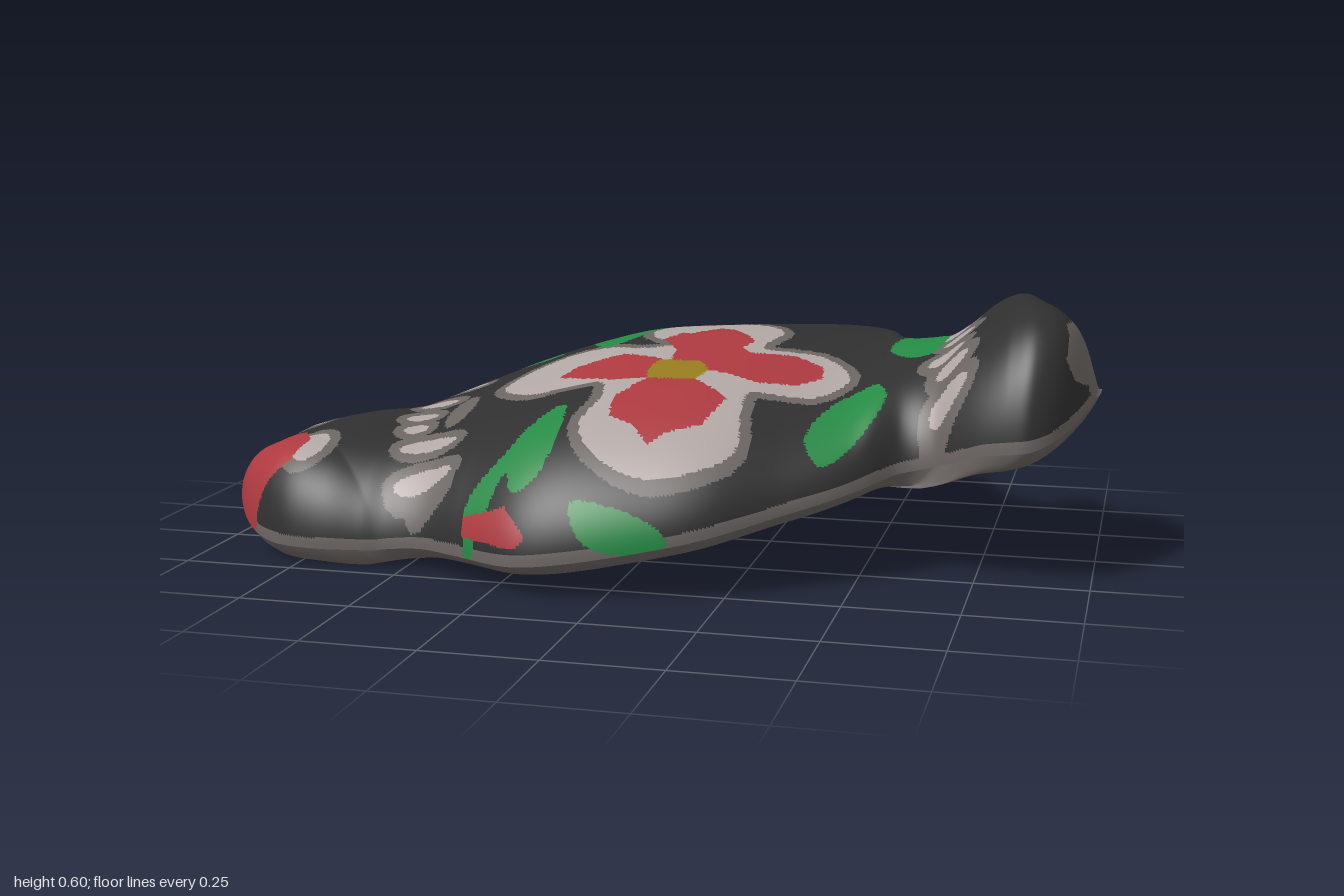
import * as THREE from 'three';

const { smoothstep } = THREE.MathUtils;
const mat = (name, color) => Object.assign(new THREE.MeshStandardMaterial({ color, side: THREE.DoubleSide }), { name });

// cross-sections along x: [x, front z, back z, top y]
const SECTIONS = [
  [-1, .2, .08, .1], [-.97, .28, .05, .19], [-.9, .38, .02, .24], [-.8, .45, -.02, .28], [-.7, .47, -.08, .3],
  [-.6, .46, -.15, .305], [-.54, .45, -.26, .325], [-.45, .465, -.37, .36], [-.35, .52, -.44, .4], [-.2, .605, -.495, .45],
  [-.08, .615, -.525, .478], [.1, .58, -.55, .487], [.22, .535, -.58, .485], [.35, .445, -.62, .475], [.43, .39, -.6, .47],
  [.48, .35, -.54, .47], [.52, .31, -.42, .475], [.58, .245, -.34, .485], [.65, .24, -.29, .505], [.7, .27, -.285, .54],
  [.76, .3, -.365, .595], [.82, .317, -.3, .62], [.87, .315, -.2, .615], [.92, .27, -.12, .585], [.96, .18, -.09, .52],
  [1, .05, 0, .38]
];
// opening in the underside
const HOLE = [[.66, -.17], [.38, -.49], [-.07, -.495], [-.414, -.16], [-.325, .37], [.12, .46], [.58, .14]];
const CENTRE = [.1, 0], LIFT = .04;

// smooth table lookup
function sample(x, col) {
  let i = 0;
  while (i < SECTIONS.length - 2 && x > SECTIONS[i + 1][0]) i++;
  const P = (k) => SECTIONS[Math.min(Math.max(k, 0), SECTIONS.length - 1)];
  const slope = (k) => (P(k + 1)[col] - P(k - 1)[col]) / (P(k + 1)[0] - P(k - 1)[0]);
  const a = P(i), b = P(i + 1), w = b[0] - a[0], t = (x - a[0]) / w, u = 1 - t;
  return a[col] * (1 + 2 * t) * u * u + b[col] * t * t * (3 - 2 * t) + w * (slope(i) * t * u * u - slope(i + 1) * t * t * u);
}

// tilted resting plane, level under the front of the knob and curled up at both ends
const base = (x, z) => Math.max(.005, .156 + .14 * x - .16 * z)
  + .15 * Math.max(0, z) * smoothstep(x, .6, .78)
  + 3 * Math.max(0, x - .85) ** 2 + 2 * Math.max(0, -.8 - x) ** 2;

// painted patches
const ellipse = (cx, cz, rx, rz) => Array.from({ length: 14 }, (_, k) =>
  [cx + rx * Math.cos(k * Math.PI / 7), cz + rz * Math.sin(k * Math.PI / 7)]);
const smooth = (p) => new THREE.CatmullRomCurve3(p.map(([x, z]) => new THREE.Vector3(x, 0, z)), true)
  .getPoints(p.length * 4).slice(1).map((v) => [v.x, v.z]);
const YELLOW = [
  [[0, .08], [.1, .08], [.13, .13], [.11, .19], [0, .2], [-.01, .14]],
  [[-1.05, .2], [-.98, .19], [-.95, .06], [-.89, .03], [-.9, -.03], [-1.05, -.03]]
];
const RED = [
  [[.03, .1], [.02, 0], [-.03, -.08], [0, -.15], [.02, -.14], [.08, -.21], [.12, -.19], [.15, -.16], [.19, -.1], [.17, -.04],
    [.2, -.01], [.3, -.04], [.37, 0], [.38, .07], [.33, .13], [.25, .16], [.13, .13]],
  [[.1, .18], [.2, .26], [.18, .33], [.17, .37], [.1, .41], [.07, .45], [.02, .4], [-.04, .37], [-.05, .3], [0, .2],
    [-.08, .21], [-.15, .18], [-.23, .13], [-.2, .07], [-.1, .03], [.02, .08]],
  [[-1.05, .2], [-.9, .19], [-.82, .23], [-.78, .3], [-.8, .375], [-.86, .395], [-.91, .42], [-1.05, .42]],
  ellipse(-.295, -.325, .068, .072)
];
const GREEN = [
  [[.02, -.49], [.02, -.37], [-.07, -.24], [-.12, -.1], [-.17, -.07], [-.24, -.2], [-.26, -.27], [-.18, -.26], [-.16, -.4], [-.07, -.47]],
  [[-.55, -.25], [-.42, -.28], [-.33, -.21], [-.3, -.14], [-.37, -.12], [-.45, -.17], [-.54, -.19]],
  [[.57, -.29], [.62, -.25], [.65, -.1], [.62, .01], [.57, 0], [.51, -.1], [.54, -.24]],
  [[.5, .11], [.54, .16], [.49, .29], [.42, .36], [.385, .32], [.43, .18]],
  [[-.16, .31], [-.14, .42], [-.16, .53], [-.21, .54], [-.24, .49], [-.27, .54], [-.31, .55], [-.33, .5], [-.26, .44], [-.22, .37]]
].map(smooth);
const LIGHT = [
  smooth([[0, -.03], [-.07, -.13], [-.06, -.25], [.03, -.28], [.12, -.3], [.2, -.26], [.24, -.2], [.22, -.1], [.22, -.05], [.35, -.07],
    [.42, 0], [.44, .08], [.38, .17], [.28, .2], [.24, .22], [.24, .3], [.25, .42], [.15, .5], [.05, .52], [-.05, .48],
    [-.1, .4], [-.08, .3], [-.1, .22], [-.25, .21], [-.34, .14], [-.38, .07], [-.35, 0], [-.26, -.07], [-.15, -.05], [-.08, -.01]]),
  ellipse(-.33, -.39, .075, .065), ellipse(-.83, .13, .03, .04), ellipse(-.77, .32, .04, .06),
  smooth([[.68, -.2], [.72, -.25], [.8, -.25], [.84, -.2], [.83, -.11], [.75, -.13]]),
  ...[[-.52, -.06, .05], [-.55, .06, .05], [-.56, .15, .04], [-.55, .22, .03], [-.49, .3, .07], [-.47, .395, .07],
    [.66, -.06, .04], [.68, 0, .035], [.66, .08, .04], [.68, .14, .035], [.68, .21, .04]].map(([x, z, r]) => ellipse(x, z, r, .022))
];
const GREY = [ellipse(-.46, .15, .03, .09), ellipse(-.44, .43, .06, .03), ellipse(.76, -.26, .07, .09)];
// patches on the front wall, in x and y
const WALL_GREEN = smooth([[-.07, .21], [0, .21], [.12, .165], [.14, .13], [.05, .11], [-.03, .13]]);
const WALL_RED = [[-.33, .11], [-.18, .11], [-.16, .14], [-.22, .19], [-.33, .15]];
// bare area on the end of the knob, in z and y
const KNOB_GREY = [[.12, .43], [.19, .45], [.21, .5], [.13, .565], [0, .56], [-.07, .53], [-.12, .56],
  [-.15, .52], [-.2, .4], [-.3, .36], [-.3, .2], [.05, .2]];

function inside(p, x, z) {
  let hit = false;
  for (let i = 0, j = p.length - 1; i < p.length; j = i++) {
    const [ax, az] = p[i], [bx, bz] = p[j];
    if ((az > z) !== (bz > z) && x < (bx - ax) * (z - az) / (bz - az) + ax) hit = !hit;
  }
  return hit;
}
function near(p, x, z, r) {
  return p.some(([ax, az], i) => {
    const [bx, bz] = p[(i + 1) % p.length], dx = bx - ax, dz = bz - az;
    const t = Math.min(1, Math.max(0, ((x - ax) * dx + (z - az) * dz) / (dx * dx + dz * dz)));
    return Math.hypot(x - ax - t * dx, z - az - t * dz) < r;
  });
}
// colour index: 0 black, 1 grey, 2 light, 3 red, 4 green, 5 yellow
function paint(x, y, z) {
  const within = (list) => list.some((p) => inside(p, x, z));
  if (within(YELLOW)) return 5;
  if (within(RED)) return 3;
  if (z > .4 && inside(WALL_RED, x, y)) return 3;
  if (z > .4 && inside(WALL_GREEN, x, y)) return 4;
  if (within(GREEN)) return 4;
  if (y - base(x, z) - LIFT < (z < 0 ? .05 : .025)) return 1;
  if (x > .86 && inside(KNOB_GREY, z, y)) return 1;
  if (within(LIGHT)) return 2;
  if (within(GREY) || LIGHT.some((p) => near(p, x, z, .025))) return 1;
  return 0;
}

function makeGeometry(positions, index) {
  const g = new THREE.BufferGeometry();
  g.setAttribute('position', new THREE.Float32BufferAttribute(positions, 3));
  g.setIndex(index);
  g.computeVertexNormals();
  return g;
}

export function createModel() {
  const group = new THREE.Group();
  const mats = [mat('black', 0x2f2f2f), mat('grey', 0x6a6461), mat('light', 0xb0a6a3),
    mat('red', 0xab393f), mat('green', 0x248944), mat('yellow', 0x937b1e)];
  const N = 300, M = 150, pos = [], front = [], back = [];

  // domed top shell, with a step down behind the knob
  for (let i = 0; i <= N; i++) {
    const x = -Math.cos(Math.PI * i / N) * .3 + (2 * i / N - 1) * .7;
    const zf = sample(x, 1), zb = sample(x, 2), mid = (zf + zb) / 2, half = (zf - zb) / 2;
    const H = Math.max(0, sample(x, 3) - base(x, mid) - LIFT - .06 * half);
    const knob = smoothstep(x, .62, .77);
    for (let j = 0; j <= M; j++) {
      const c = Math.cos(Math.PI * j / M), z = mid + half * c;
      const power = c < 0 ? 2.5 - .5 * knob : 2.8 - .3 * knob;
      const step = 1 - .62 * knob * smoothstep(-z, .08, .22);
      pos.push(x, base(x, z) + LIFT + H * step * Math.sqrt(Math.max(0, 1 - Math.abs(c) ** power)), z);
    }
    front.push([x, zf]);
    back.unshift([x, zb]);
  }
  const buckets = mats.map(() => []);
  const addTriangle = (...t) => {
    const mean = (k) => (pos[t[0] * 3 + k] + pos[t[1] * 3 + k] + pos[t[2] * 3 + k]) / 3;
    buckets[paint(mean(0), mean(1), mean(2))].push(...t);
  };
  for (let i = 0; i < N; i++) for (let j = 0; j < M; j++) {
    const a = i * (M + 1) + j, b = a + M + 1;
    addTriangle(a, b, a + 1);
    addTriangle(b, b + 1, a + 1);
  }
  const shell = makeGeometry(pos, buckets.flat());
  let start = 0;
  buckets.forEach((b, k) => { shell.addGroup(start, b.length, k); start += b.length; });
  const top = new THREE.Mesh(shell, mats);
  top.name = 'paintedShell';

  // underside rim, running from the outline in to the opening
  const loop = [...front, ...back], K = 10, rim = [], rimIndex = [];
  loop.forEach(([x, z], l) => {
    const dx = x - CENTRE[0], dz = z - CENTRE[1];
    let s = 0;
    HOLE.forEach(([ax, az], i) => {
      const [bx, bz] = HOLE[(i + 1) % HOLE.length], ex = bx - ax, ez = bz - az, det = dx * ez - dz * ex;
      const px = ax - CENTRE[0], pz = az - CENTRE[1];
      const t = (px * ez - pz * ex) / det, u = (px * dz - pz * dx) / det;
      if (t > 0 && u >= 0 && u <= 1) s = Math.min(t, 1);
    });
    for (let k = 0; k <= K; k++) {
      const f = 1 - (1 - s) * (k / K) ** 2;
      const qx = CENTRE[0] + dx * f, qz = CENTRE[1] + dz * f;
      const d = Math.min(1, (1 - f) * Math.hypot(dx, dz) / .07);
      rim.push(qx, base(qx, qz) + LIFT * (1 - d) ** 2, qz);
    }
    const next = (l + 1) % loop.length;
    for (let k = 0; k < K; k++) {
      const a = l * (K + 1) + k, b = next * (K + 1) + k;
      rimIndex.push(a, a + 1, b, b, a + 1, b + 1);
    }
  });
  const under = new THREE.Mesh(makeGeometry(rim, rimIndex), mats[1]);
  under.name = 'undersideRim';

  group.add(top, under);
  return group;
}
